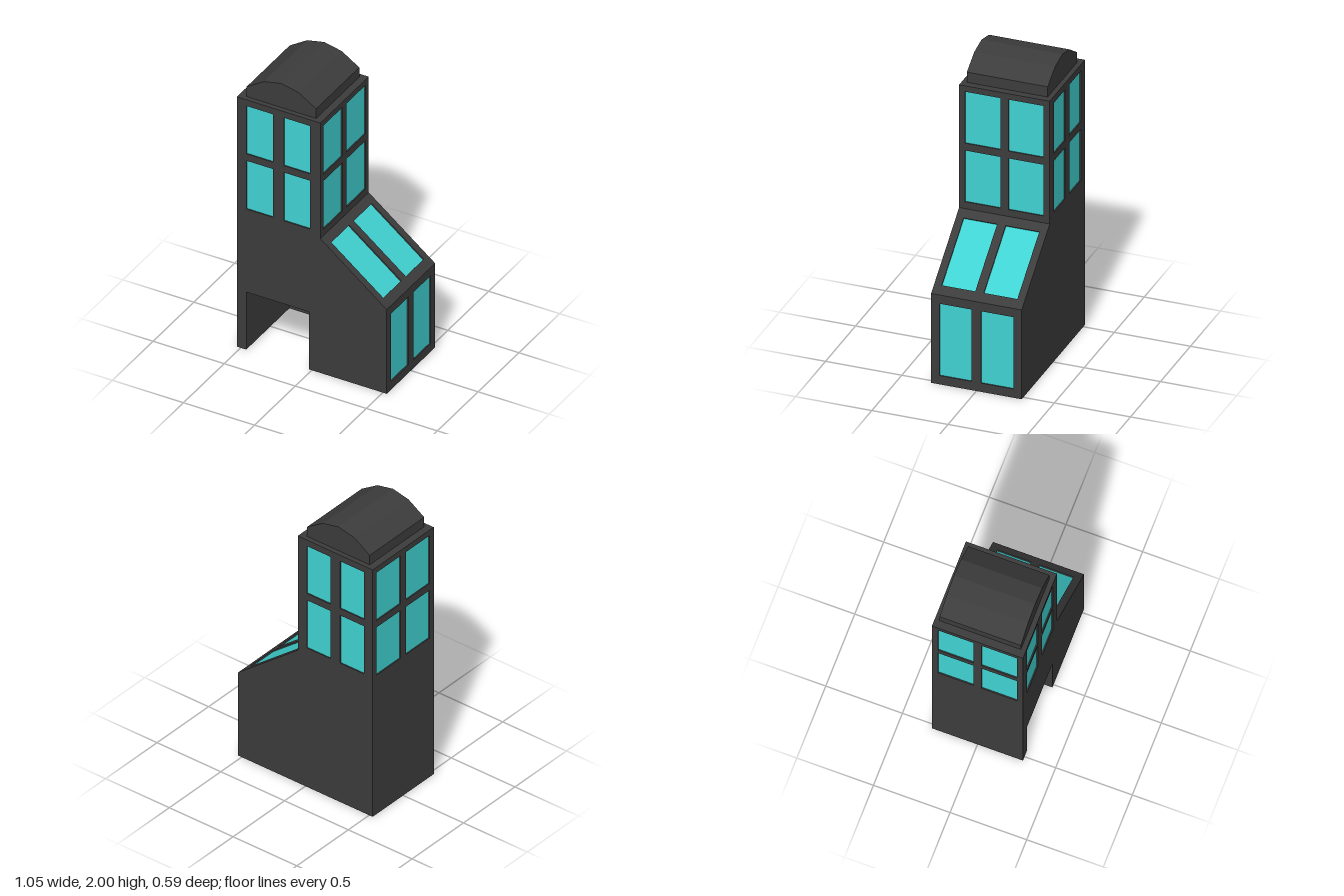
import * as THREE from 'three';

const D = 0.297;   // half depth
const R = 0.012;   // window recess
const T = 0.066;   // wall thickness

// Outline from the bottom right, over the top, to the bottom left
const OUT = [[0.527, 0], [0.527, 0.615], [0.06, 0.98], [0.06, 1.825], [-0.527, 1.825], [-0.527, 0]]
  .map(([x, y]) => new THREE.Vector2(x, y));
const DOOR = [[-0.461, 0], [-0.461, 0.42], [-0.019, 0.42], [-0.019, 0]].map(([x, y]) => new THREE.Vector2(x, y));

// Outline moved inwards by d with mitred corners, kept open at the floor
function inset(d) {
  const normals = OUT.slice(1).map((p, i) => {
    const e = p.clone().sub(OUT[i]).normalize();
    return new THREE.Vector2(-e.y, e.x);
  });
  return OUT.map((p, i) => {
    const a = normals[Math.max(i - 1, 0)], b = normals[Math.min(i, normals.length - 1)];
    return p.clone().addScaledVector(a.clone().add(b), d / (1 + a.dot(b)));
  });
}

function rectPath([x0, x1, y0, y1]) {
  return new THREE.Path([[x0, y0], [x1, y0], [x1, y1], [x0, y1]].map(([x, y]) => new THREE.Vector2(x, y)));
}

function extrude(points, depth, holes = []) {
  const shape = new THREE.Shape(points);
  shape.holes = holes.map(rectPath);
  return new THREE.ExtrudeGeometry(shape, { depth, bevelEnabled: false });
}

export function createModel() {
  const dark = new THREE.MeshStandardMaterial({ color: 0x3c3c3c });
  dark.name = 'charcoal';
  const teal = new THREE.MeshStandardMaterial({ color: 0x40d2d2 });
  teal.name = 'turquoise glass';

  const model = new THREE.Group();
  model.name = 'tower';

  function add(parent, name, geometry, material, z = 0) {
    const mesh = new THREE.Mesh(geometry, material);
    mesh.name = name;
    mesh.position.z = z;
    parent.add(mesh);
    return mesh;
  }

  // Thin panes at the bottom of the recesses of a panel
  function addPanes(parent, rects) {
    for (const [x0, x1, y0, y1] of rects) {
      const pane = add(parent, 'windowPane', new THREE.BoxGeometry(x1 - x0, y1 - y0, 0.004), teal, 0.002);
      pane.position.x = (x0 + x1) / 2;
      pane.position.y = (y0 + y1) / 2;
    }
  }

  // Front and back: an inner wall and an outer skin with window openings
  const core = inset(R);
  const faceWindows = [];
  for (const [x0, x1] of [[-0.461, -0.272], [-0.197, -0.011]])
    for (const [y0, y1] of [[1.027, 1.38], [1.43, 1.78]]) faceWindows.push([x0, x1, y0, y1]);

  add(model, 'frontWall', extrude([...core, ...DOOR], T - R), dark, D - T);
  add(model, 'backWall', extrude(core, T - R), dark, -D + R);
  const front = new THREE.Group();
  front.name = 'frontFace';
  front.position.z = D - R;
  add(front, 'frontSkin', extrude([...OUT, ...DOOR], R, faceWindows), dark);
  addPanes(front, faceWindows);
  model.add(front);

  const back = new THREE.Group();
  back.name = 'backFace';
  back.position.z = -D + R;
  back.rotation.y = Math.PI;
  const mirror = ([x0, x1, y0, y1]) => [-x1, -x0, y0, y1];
  const backOutline = OUT.map(p => new THREE.Vector2(-p.x, p.y));
  add(back, 'backSkin', extrude(backOutline, R, faceWindows.map(mirror)), dark);
  addPanes(back, faceWindows.map(mirror));
  model.add(back);

  // Side walls and ceilings, one band that follows the outline
  add(model, 'sideWalls', extrude([...core, ...inset(T).reverse()], 2 * (D - T)), dark, -D + T);

  // Outer side panels: rows of window pairs as distances along each edge
  const panels = [
    { name: 'lowerSide', z: [0.031, 0.243], rows: [[0.06, 0.555]] },
    { name: 'slopedSide', z: [0.028, 0.248], rows: [[0.066, 0.53]] },
    { name: 'towerRightSide', z: [0.027, 0.257], rows: [[0.047, 0.4], [0.45, 0.805]] },
    { name: 'towerTop', z: [0, 0], rows: [] },
    { name: 'towerLeftSide', z: [0.027, 0.257], rows: [[0.04, 0.395], [0.445, 0.798]] },
  ];
  panels.forEach(({ name, z: [z0, z1], rows }, i) => {
    const a = OUT[i], b = OUT[i + 1];
    const length = a.distanceTo(b);
    const e = b.clone().sub(a).normalize();
    const w = D - R;
    const rects = rows.flatMap(([u0, u1]) => [[z0, z1, u0, u1], [-z1, -z0, u0, u1]]);
    const outline = [[-w, 0], [w, 0], [w, length], [-w, length]].map(([x, y]) => new THREE.Vector2(x, y));
    const geometry = extrude(outline, R, rects);

    // Mitre the inner ends so neighbouring panels meet
    const startShift = core[i].clone().sub(a).dot(e);
    const endShift = core[i + 1].clone().sub(b).dot(e);
    const pos = geometry.attributes.position;
    for (let k = 0; k < pos.count; k++) {
      if (pos.getZ(k) > R / 2) continue;
      if (pos.getY(k) < 1e-5) pos.setY(k, startShift);
      else if (pos.getY(k) > length - 1e-5) pos.setY(k, length + endShift);
    }

    const group = new THREE.Group();
    group.name = name;
    const along = new THREE.Vector3(e.x, e.y, 0);
    const outward = new THREE.Vector3(e.y, -e.x, 0);
    const across = new THREE.Vector3().crossVectors(along, outward);
    group.quaternion.setFromRotationMatrix(new THREE.Matrix4().makeBasis(across, along, outward));
    group.position.set(a.x, a.y, 0).addScaledVector(outward, -R);
    add(group, name + 'Skin', geometry, dark);
    addPanes(group, rects);
    model.add(group);
  });

  // Faceted barrel roof
  const roof = [[-0.478, 1.825], [0.012, 1.825], [0.012, 1.895], [-0.111, 1.974], [-0.194, 1.993],
    [-0.233, 2], [-0.272, 1.993], [-0.355, 1.974], [-0.478, 1.895]]
    .filter((p, i) => i !== 4 && i !== 6)
    .map(([x, y]) => new THREE.Vector2(x, y));
  add(model, 'barrelRoof', extrude(roof, 0.53), dark, -0.265);

  return model;
}
